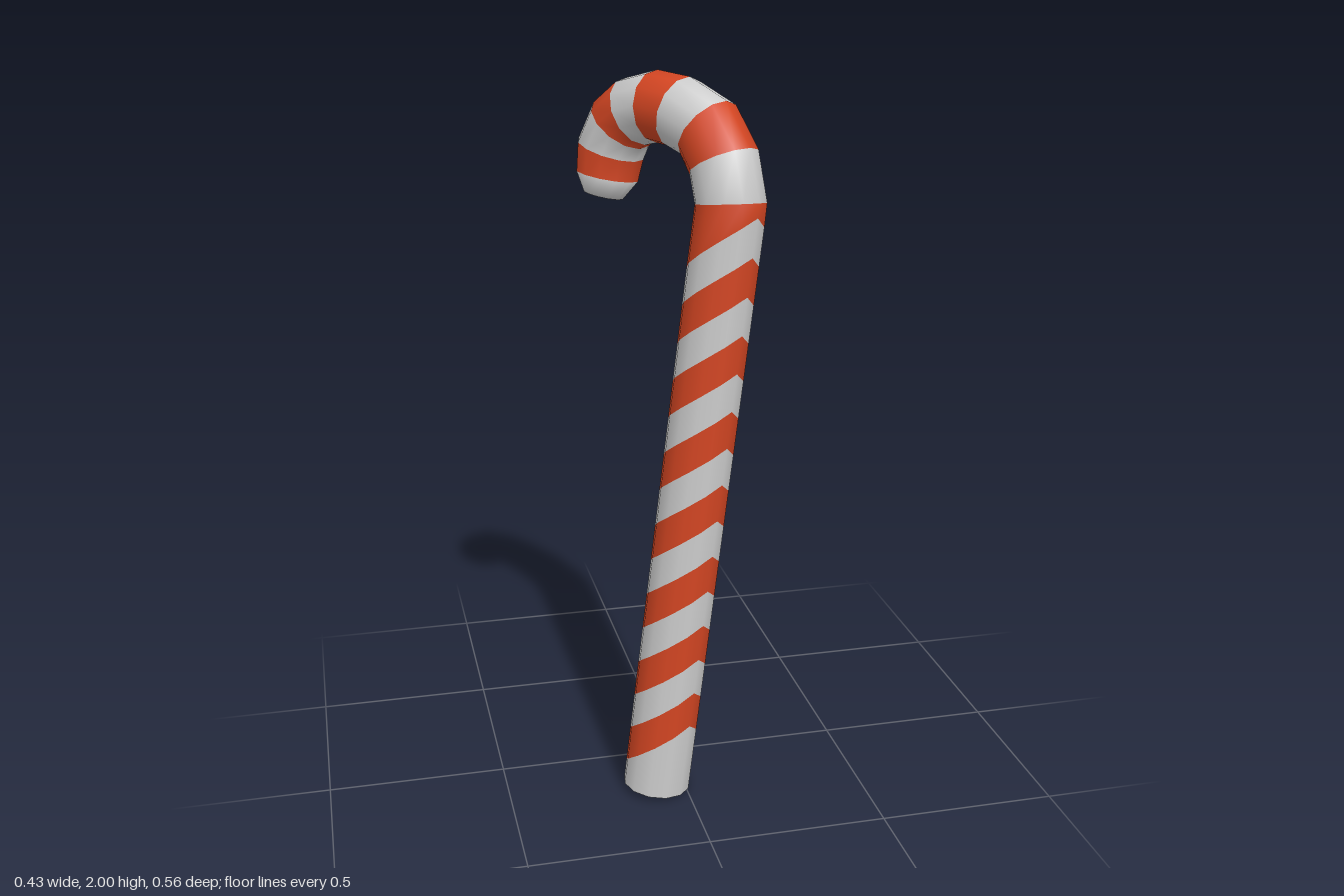
import * as THREE from 'three';

const SIDES = 12;
const RADIUS = 0.095;
const V = (x, y, z) => new THREE.Vector3(x, y, z);

// Leaning straight shaft axis and the plane the hook bends in
const foot = V(-0.08, 0.0113, 0.185);
const shaftTop = V(0.122, 1.685, 0.181);
const shaftDir = shaftTop.clone().sub(foot).normalize();
const planeNormal = V(-0.565, 0, -0.825).cross(shaftDir).normalize();

// Centre line of the hook
const hookPoints = [
  shaftTop,
  ...[[1.786, 0.148], [1.863, 0.093], [1.898, 0.012], [1.9055, -0.06],
    [1.886, -0.1225], [1.848, -0.162], [1.7785, -0.1865], [1.706, -0.189]]
    .map(([y, z]) => V(0.122 + 0.12 * (y - 1.685) - 0.686 * (0.181 - z), y, z)),
];
const tipPoint = V(-0.141, 1.652, -0.19);

// One ring of points and normals; slant(t) slides points along the axis,
// t = 0 on the outer side of the bend and 1 on the inner side
function makeRing(center, tangent, radius, slant = () => 0, normalLift = 0) {
  const dir = tangent.clone().normalize();
  const out = planeNormal.clone().cross(dir).normalize();
  const side = dir.clone().cross(out);
  const points = [], normals = [];
  for (let i = 0; i <= SIDES; i++) {
    const a = (i / SIDES) * Math.PI * 2;
    const radial = out.clone().multiplyScalar(Math.cos(a)).addScaledVector(side, Math.sin(a));
    const t = Math.abs(a > Math.PI ? a - 2 * Math.PI : a) / Math.PI;
    points.push(center.clone().addScaledVector(radial, radius).addScaledVector(dir, slant(t)));
    normals.push(radial.addScaledVector(dir, normalLift).normalize());
  }
  return { points, normals };
}

// Skin between two rings
function band(lower, upper) {
  const pos = [], nor = [], index = [];
  for (const ring of [lower, upper]) {
    ring.points.forEach((p) => pos.push(p.x, p.y, p.z));
    ring.normals.forEach((n) => nor.push(n.x, n.y, n.z));
  }
  const row = SIDES + 1;
  for (let i = 0; i < SIDES; i++) {
    index.push(i, i + 1, row + i + 1, i, row + i + 1, row + i);
  }
  const geo = new THREE.BufferGeometry();
  geo.setAttribute('position', new THREE.Float32BufferAttribute(pos, 3));
  geo.setAttribute('normal', new THREE.Float32BufferAttribute(nor, 3));
  geo.setIndex(index);
  return geo;
}

// Flat disc facing a direction
function disc(center, facing, radius) {
  const geo = new THREE.CircleGeometry(radius, SIDES);
  geo.applyQuaternion(new THREE.Quaternion().setFromUnitVectors(V(0, 0, 1), facing.clone().normalize()));
  return geo.translate(center.x, center.y, center.z);
}

export function createModel() {
  const white = new THREE.MeshStandardMaterial({ color: 0xcccccc });
  const red = new THREE.MeshStandardMaterial({ color: 0xd24522 });
  const model = new THREE.Group();
  model.name = 'candyCane';
  const shaft = new THREE.Group();
  shaft.name = 'shaft';
  const hook = new THREE.Group();
  hook.name = 'hook';
  model.add(shaft, hook);

  const add = (parent, name, geo, material) => {
    const mesh = new THREE.Mesh(geo, material);
    mesh.name = name;
    parent.add(mesh);
  };
  const addStripes = (parent, rings) => {
    for (let i = 0; i + 1 < rings.length; i++) {
      const isRed = i % 2 === 1;
      add(parent, isRed ? 'redStripe' : 'whiteStripe', band(rings[i], rings[i + 1]), isRed ? red : white);
    }
  };

  // Hook rings, each turned to the mitre of its neighbours
  const path = [foot.clone().lerp(shaftTop, 0.94), ...hookPoints, tipPoint];
  const hookRings = hookPoints.map((p, i) => {
    const before = p.clone().sub(path[i]).normalize();
    const after = path[i + 2].clone().sub(p).normalize();
    return makeRing(p, before.add(after), i === 8 ? 0.088 : RADIUS);
  });

  // Shaft rings: slanted stripe edges, high on the outer side of the bend
  const slant = (t) => -0.0875 * (Math.sin((t * Math.PI) / 2) + (1 - Math.cos(t * Math.PI)) / 2);
  const shaftRings = [makeRing(foot, shaftDir, RADIUS)];
  for (let i = 0; i < 15; i++) {
    const height = 0.23 + 0.1025 * i;
    const center = foot.clone().addScaledVector(shaftDir, (height - foot.y) / shaftDir.y);
    shaftRings.push(makeRing(center, shaftDir, RADIUS, slant));
  }
  shaftRings.push(hookRings[0]);
  addStripes(shaft, shaftRings);
  add(shaft, 'footCap', disc(foot, shaftDir.clone().negate(), RADIUS), white);

  // Hook stripes and the bevelled tip
  addStripes(hook, hookRings);
  const tipDir = tipPoint.clone().sub(hookPoints[8]);
  add(hook, 'tipBevel', band(hookRings[8], makeRing(tipPoint, tipDir, 0.056, undefined, 1)), white);
  add(hook, 'tipCap', disc(tipPoint, tipDir, 0.057), white);

  return model;
}
